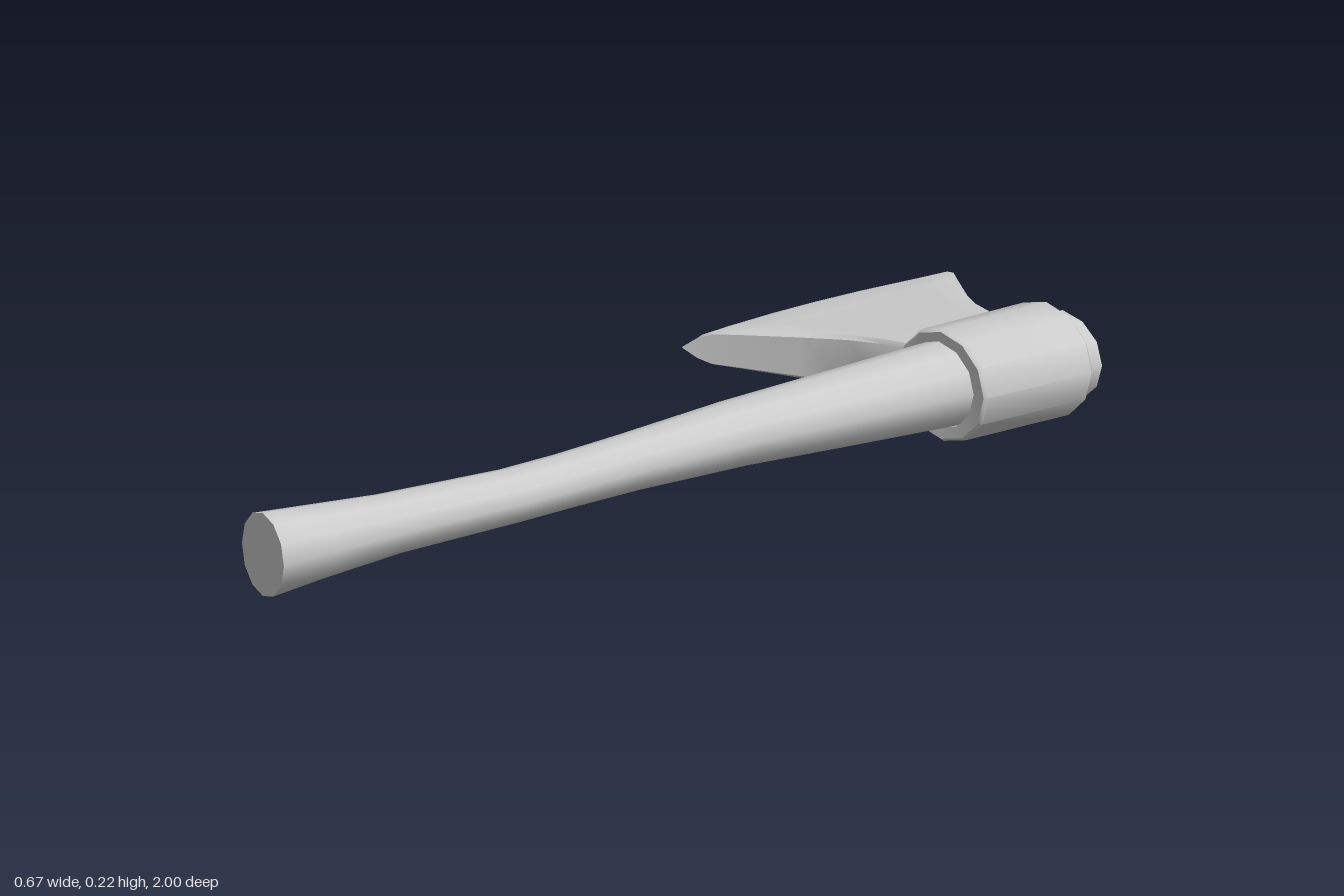
import * as THREE from 'three';
import { toCreasedNormals } from 'three/addons/utils/BufferGeometryUtils.js';

const material = new THREE.MeshStandardMaterial({ color: 0xcccccc });

// Skins closed rings of points (counter-clockwise about the travel direction), with optional end caps.
function loft(rings, capStart, capEnd) {
  const n = rings[0].length;
  const points = rings.flat();
  const index = [];
  for (let i = 0; i < rings.length - 1; i++) {
    for (let j = 0; j < n; j++) {
      const k = (j + 1) % n;
      const a = i * n + j, b = i * n + k, c = b + n, d = a + n;
      index.push(a, b, c, a, c, d);
    }
  }
  const cap = (r, flip) => {
    const centre = new THREE.Vector3();
    rings[r].forEach((p) => centre.addScaledVector(p, 1 / n));
    const m = points.push(centre) - 1;
    for (let j = 0; j < n; j++) {
      const a = r * n + j, b = r * n + ((j + 1) % n);
      index.push(m, flip ? b : a, flip ? a : b);
    }
  };
  if (capStart) cap(0, true);
  if (capEnd) cap(rings.length - 1, false);
  const geometry = new THREE.BufferGeometry().setFromPoints(points);
  geometry.setIndex(index);
  return toCreasedNormals(geometry, 0.75);
}

// Ellipse in the xy plane filling the given extents; slant skews it along z.
function ellipse(z, x0, x1, y0, y1, slant = 0, sides = 12) {
  const cx = (x0 + x1) / 2, cy = (y0 + y1) / 2;
  return Array.from({ length: sides }, (_, i) => {
    const a = (i / sides) * Math.PI * 2;
    const dx = (Math.cos(a) * (x1 - x0)) / 2;
    return new THREE.Vector3(cx + dx, cy + (Math.sin(a) * (y1 - y0)) / 2, z + dx * slant);
  });
}

// Slight tilt of the head along its length.
const tilt = (z) => -0.025 * (z + 0.67);

export function createModel() {
  const group = new THREE.Group();
  const add = (name, geometry) => {
    const mesh = new THREE.Mesh(geometry, material);
    mesh.name = name;
    group.add(mesh);
  };

  // Curved handle, from the domed end above the head to the slanted grip end
  const stations = [
    [-0.838, 0.125, 0.295, 0.052, 0.19, -0.05],
    [-0.832, 0.11, 0.308, 0.04, 0.2, -0.05],
    [-0.8, 0.107, 0.312, 0.037, 0.203],
    [-0.55, 0.11, 0.292, 0.039, 0.188],
    [-0.3, 0.113, 0.278, 0.043, 0.173],
    [-0.1, 0.118, 0.266, 0.047, 0.162],
    [0.15, 0.139, 0.262, 0.048, 0.147],
    [0.3, 0.149, 0.267, 0.046, 0.14],
    [0.43, 0.154, 0.274, 0.043, 0.137],
    [0.7, 0.138, 0.271, 0.032, 0.138],
    [0.87, 0.119, 0.273, 0.014, 0.145, 0.15],
    [0.975, 0.109, 0.277, 0.001, 0.15, 0.28],
  ];
  add('handle', loft(stations.map((s) => ellipse(...s)), true, true));

  // Hollow collar around the handle: outer wall, rounded rims and inner wall
  const ring = (z, rx, ry, cx = 0.21) => {
    const cy = 0.117 + tilt(z);
    return ellipse(z, cx - rx, cx + rx, cy - ry, cy + ry);
  };
  add('headCollar', loft([
    ring(-0.79, 0.092, 0.078, 0.207),
    ring(-0.8, 0.115, 0.095),
    ring(-0.793, 0.122, 0.102),
    ring(-0.56, 0.12, 0.101),
    ring(-0.553, 0.115, 0.096),
    ring(-0.555, 0.093, 0.077, 0.203),
    ring(-0.79, 0.092, 0.078, 0.207),
  ]));

  // Blade: [corner x, bulge of the middle, z min, z max, half thickness], cutting edge first
  const sections = [
    [-0.29, 0.044, -1.0, -0.388, 0.0005],
    [-0.268, 0.022, -0.982, -0.404, 0.021],
    [-0.245, 0.01, -0.968, -0.418, 0.0315],
    [-0.2, 0, -0.939, -0.444, 0.0345],
    [-0.1, 0, -0.876, -0.498, 0.041],
    [-0.02, 0, -0.834, -0.535, 0.0465],
    [0.05, 0, -0.808, -0.554, 0.051],
    [0.104, 0, -0.798, -0.556, 0.0545],
    [0.114, 0, -0.796, -0.557, 0.0545],
  ];
  const across = [-1, -0.95, -0.7, -0.35, 0, 0.35, 0.7, 0.95, 1];
  const bladeRing = ([x, bulge, z0, z1, h]) => {
    const side = (v, sign) => {
      const z = (z0 + z1) / 2 + (v * (z1 - z0)) / 2;
      const thickness = Math.abs(v) === 1 ? 0.85 * h : h;
      return new THREE.Vector3(x - bulge * (1 - v * v), 0.115 + tilt(z) + sign * thickness, z);
    };
    return [
      ...across.map((v) => side(v, 1)),
      ...across.map((v) => side(-v, -1)),
    ];
  };
  add('blade', loft(sections.map(bladeRing)));

  return group;
}
